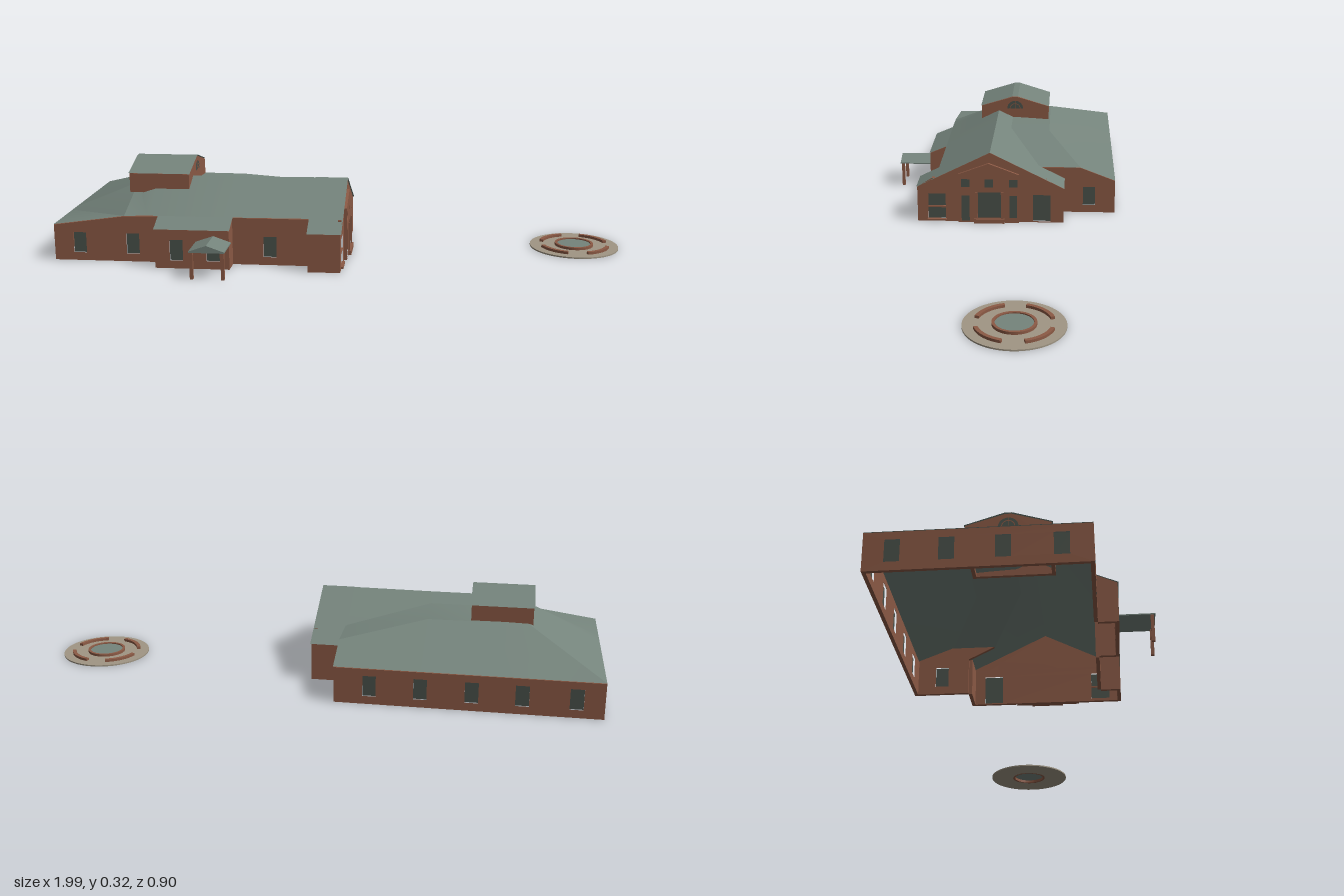
import * as THREE from 'three';
import { toCreasedNormals } from 'three/addons/utils/BufferGeometryUtils.js';

const mat = (name, color, side = THREE.FrontSide) => {
  const m = new THREE.MeshStandardMaterial({ color, side });
  m.name = name;
  return m;
};

export function createModel() {
  const brick = mat('brick', 0x8c5a45);
  const roofing = mat('roofing', 0x75847c, THREE.DoubleSide);
  const glass = mat('window glass', 0x4a524b, THREE.DoubleSide);
  const paving = mat('paving', 0xa09684);
  const T = 0.012; // wall thickness

  const model = new THREE.Group();
  model.name = 'hallAndPlaza';
  const hall = new THREE.Group();
  hall.name = 'hall';
  hall.position.set(-0.93, 0, -0.45);
  hall.rotation.y = -0.1;
  model.add(hall);

  const add = (parent, name, geo, material, x = 0, y = 0, z = 0) => {
    const m = new THREE.Mesh(geo, material);
    m.name = name;
    m.position.set(x, y, z);
    parent.add(m);
    return m;
  };
  const box = (parent, name, w, h, d, x, y, z, material = brick) =>
    add(parent, name, new THREE.BoxGeometry(w, h, d), material, x, y, z);

  // Extruded wall panel with window openings [centre, bottom, width, height]
  const panel = (parent, name, top, openings, base, z, depth) => {
    const pts = [[top[0][0], base], ...top, [top[top.length - 1][0], base]];
    const shape = new THREE.Shape(pts.map(p => new THREE.Vector2(...p)));
    for (const [s, y, w, h] of openings) {
      shape.holes.push(new THREE.Path([[s - w / 2, y], [s - w / 2, y + h], [s + w / 2, y + h], [s + w / 2, y]]
        .map(p => new THREE.Vector2(...p))));
      add(parent, name + 'Pane', new THREE.PlaneGeometry(w, h), glass, s, y + h / 2, z + depth - 0.006);
    }
    add(parent, name, new THREE.ExtrudeGeometry(shape, { depth, bevelEnabled: false }), brick, 0, 0, z);
  };

  // Wall from a to b in plan, its outer face on the right-hand side
  const wall = (name, a, b, top, openings = [], base = 0) => {
    const dx = b[0] - a[0], dz = b[1] - a[1];
    const g = new THREE.Group();
    g.name = name + 'Group';
    g.position.set(a[0], 0, a[1]);
    g.rotation.y = Math.atan2(-dz, dx);
    hall.add(g);
    const len = Math.hypot(dx, dz);
    panel(g, name, typeof top === 'number' ? [[0, top], [len, top]] : top, openings, base, -T, T);
    return g;
  };

  // Roof skin through stations [x, [[z, y], ...]]
  const roof = (name, stations, lift = 0.002) => {
    const pos = [], index = [], n = stations[0][1].length;
    for (const [x, profile] of stations) for (const [z, y] of profile) pos.push(x, y + lift, z);
    for (let i = 0; i < stations.length - 1; i++) for (let j = 0; j < n - 1; j++) {
      const a = i * n + j, c = a + n;
      index.push(a, a + 1, c + 1, a, c + 1, c);
    }
    const geo = new THREE.BufferGeometry();
    geo.setAttribute('position', new THREE.Float32BufferAttribute(pos, 3));
    geo.setIndex(index);
    add(hall, name, toCreasedNormals(geo, 0.3), roofing);
  };

  const win = s => [s, 0.028, 0.045, 0.072];

  // Outer walls, going round the plan
  wall('frontLeftWall', [0, 0.655], [0.37, 0.655], [[0, 0.125], [0.25, 0.16], [0.37, 0.163]], [win(0.09), win(0.277)]);
  wall('bayLeftWall', [0.37, 0.655], [0.37, 0.72], [[0, 0.163], [0.065, 0.135]]);
  wall('bayFrontWall', [0.37, 0.72], [0.625, 0.72], 0.135, [win(0.074), win(0.2)]);
  wall('bayRightWall', [0.625, 0.72], [0.625, 0.655], [[0, 0.135], [0.065, 0.163]]);
  wall('frontRightWall', [0.625, 0.655], [0.89, 0.655], 0.164, [win(0.129)]);
  wall('wingLeftWall', [0.89, 0.655], [0.89, 0.723], [[0, 0.165], [0.068, 0.132]]);
  wall('wingFrontWall', [0.89, 0.723], [1, 0.723], 0.132);
  wall('wingBackWall', [1, 0.19], [0.89, 0.19], 0.132);
  wall('sideWall', [0.89, 0.28], [0.89, 0], [[0.09, 0.13], [0, 0.175], [0.15, 0.175], [0.28, 0.125]], [win(0.184)]);
  wall('backWall', [0.89, 0], [0, 0], 0.125, [0.12, 0.29, 0.46, 0.625, 0.8].map(win));
  wall('leftWall', [0, 0], [0, 0.655], 0.125, [0.085, 0.24, 0.4, 0.565].map(win));

  // Entrance gable with its projecting centre bay
  const upper = s => [s, 0.135, 0.031, 0.032];
  const gable = wall('gableWall', [1, 0.723], [1, 0.19], [[0, 0.132], [0.266, 0.265], [0.533, 0.132]],
    [upper(0.07), upper(0.454), [0.071, 0.01, 0.064, 0.096], [0.454, 0.004, 0.064, 0.102]]);
  panel(gable, 'entranceBay', [[0.15, 0.185], [0.261, 0.227], [0.371, 0.185]],
    [upper(0.176), upper(0.261), upper(0.35), [0.176, 0.004, 0.03, 0.1], [0.263, 0.017, 0.084, 0.1],
      [0.35, 0.017, 0.028, 0.088]], 0, 0, 0.01);
  box(gable, 'windowBar', 0.064, 0.006, 0.008, 0.071, 0.056, -0.004);
  box(gable, 'windowSill', 0.07, 0.006, 0.012, 0.071, 0.007, 0.002);
  for (const s of [0.216, 0.31]) box(gable, 'doorPilaster', 0.009, 0.118, 0.006, s, 0.059, 0.012);
  box(gable, 'doorStep', 0.11, 0.016, 0.012, 0.263, 0.008, 0.014);

  // Main roof: hipped at the left, flattening behind the ridge, dipping beside the wing
  roof('mainRoof', [
    [0, [[0, 0.125], [0.25, 0.125], [0.4, 0.125], [0.457, 0.125], [0.655, 0.125]]],
    [0.25, [[0, 0.125], [0.25, 0.225], [0.4, 0.232], [0.457, 0.235], [0.655, 0.16]]],
    [0.33, [[0, 0.125], [0.25, 0.227], [0.4, 0.235], [0.457, 0.262], [0.655, 0.163]]],
    [0.6, [[0, 0.125], [0.25, 0.225], [0.4, 0.235], [0.457, 0.262], [0.655, 0.163]]],
    [0.892, [[0, 0.125], [0.13, 0.175], [0.28, 0.175], [0.457, 0.264], [0.655, 0.165]]],
  ]);
  const wingProfile = [[0.187, 0.131], [0.457, 0.265], [0.726, 0.131]];
  roof('wingRoof', [[0.888, wingProfile], [1.004, wingProfile]]);
  const bayProfile = [[0.655, 0.163], [0.723, 0.134]];
  roof('bayRoof', [[0.368, bayProfile], [0.627, bayProfile]]);

  // Raised roof lantern with arched end windows
  const [u0, u1, v0, v1] = [0.238, 0.45, 0.257, 0.526];
  const crown = [[0, 0.283], [0.125, 0.32], [0.144, 0.32], [0.269, 0.283]];
  const ends = [
    wall('lanternRightWall', [u1, v1], [u1, v0], crown, [], 0.215),
    wall('lanternLeftWall', [u0, v0], [u0, v1], crown, [], 0.215),
  ];
  wall('lanternFrontWall', [u0, v1], [u1, v1], 0.283, [], 0.215);
  wall('lanternBackWall', [u1, v0], [u0, v0], 0.283, [], 0.215);
  for (const end of ends) {
    add(end, 'archedWindow', new THREE.CircleGeometry(0.032, 20, 0, Math.PI), glass, 0.1345, 0.273, 0.002);
    add(end, 'archBar', new THREE.RingGeometry(0.019, 0.022, 20, 1, 0, Math.PI), brick, 0.1345, 0.273, 0.004);
    box(end, 'archMullion', 0.002, 0.031, 0.002, 0.1345, 0.2885, 0.003);
  }
  const lantern = [[v0 - 0.003, 0.282], [0.38, 0.321], [0.403, 0.321], [v1 + 0.003, 0.282]];
  roof('lanternRoof', [[u0 - 0.003, lantern], [u1 + 0.003, lantern]]);

  // Porch: gabled canopy on two posts
  const porchShape = new THREE.Shape([[-0.06, 0.092], [0.06, 0.092], [0.06, 0.096], [0, 0.117], [-0.06, 0.096]]
    .map(p => new THREE.Vector2(...p)));
  add(hall, 'porchRoof', new THREE.ExtrudeGeometry(porchShape, { depth: 0.118, bevelEnabled: false }), roofing,
    0.572, 0, 0.72);
  for (const s of [-1, 1]) box(hall, 'porchPost', 0.011, 0.093, 0.011, 0.572 + s * 0.052, 0.0465, 0.828);

  // Round plaza with a pool and four curved benches
  const plaza = new THREE.Group();
  plaza.name = 'plaza';
  plaza.position.set(0.842, 0, 0.06);
  model.add(plaza);
  const ring = (name, inner, outer, y0, y1, material, start = 0, span = Math.PI * 2) => {
    const shape = new THREE.Shape();
    shape.absarc(0, 0, outer, start, start + span, false);
    if (span < 6) shape.absarc(0, 0, inner, start + span, start, true);
    else shape.holes.push(new THREE.Path().absarc(0, 0, inner, 0, span, true));
    const geo = new THREE.ExtrudeGeometry(shape, { depth: y1 - y0, bevelEnabled: false, curveSegments: 32 });
    add(plaza, name, geo.rotateX(-Math.PI / 2), material, 0, y0, 0);
  };
  ring('pavedRing', 0.066, 0.157, 0, 0.005, paving);
  ring('poolRim', 0.059, 0.068, 0, 0.014, brick);
  add(plaza, 'poolWater', new THREE.CircleGeometry(0.06, 40).rotateX(-Math.PI / 2), roofing, 0, 0.01, 0);
  for (let i = 0; i < 4; i++) ring('bench', 0.112, 0.125, 0.004, 0.014, brick, i * Math.PI / 2 + 0.2, 1.0);

  return model;
}
